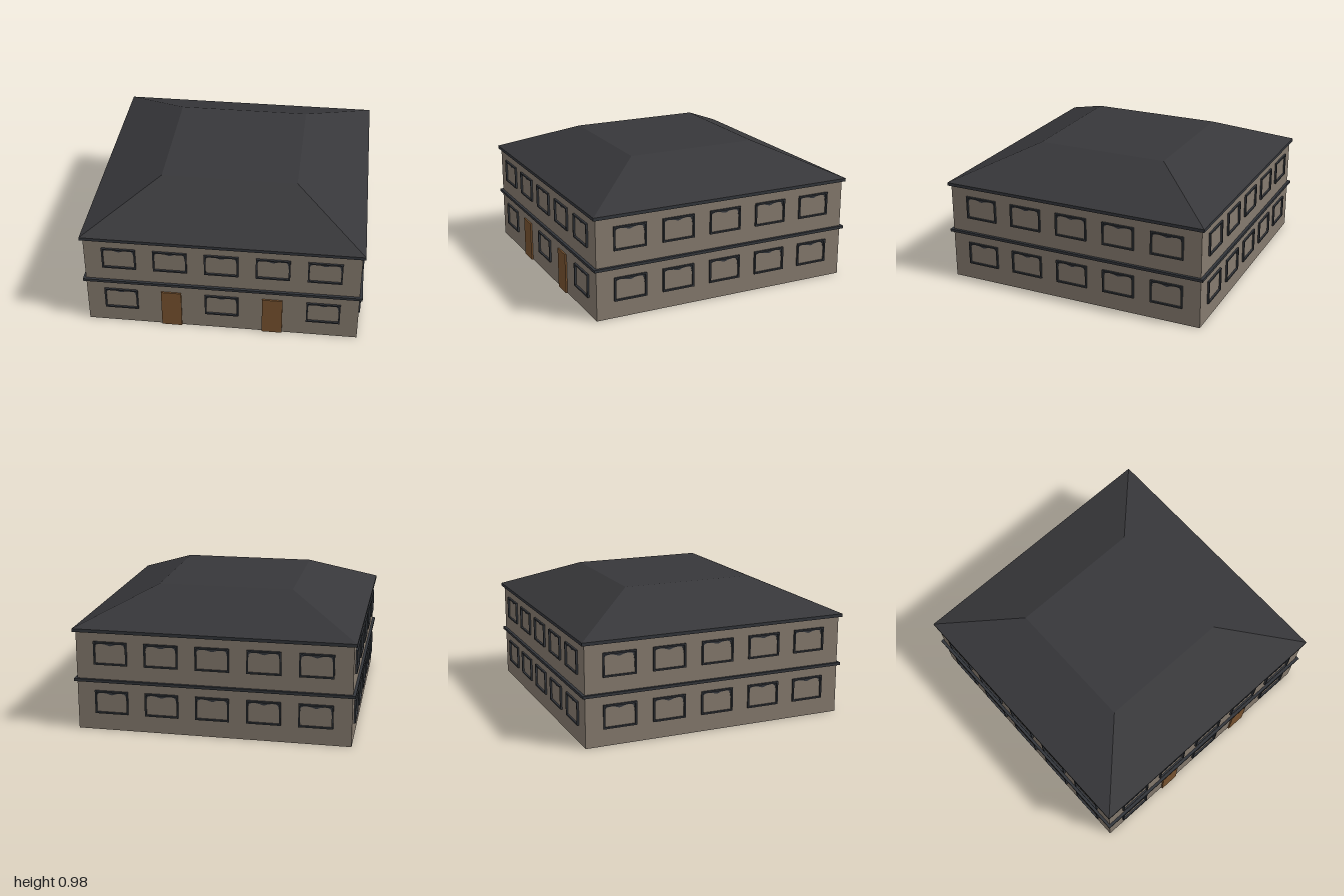
import * as THREE from 'three';

const material = (name, color, extra = {}) => {
  const m = new THREE.MeshStandardMaterial({ color, ...extra });
  m.name = name;
  return m;
};

// Square ring or shell: a four-sided lathe, profile given as [half width, height]
function squareShell(name, profile, mat) {
  const points = profile.map(([w, y]) => new THREE.Vector2(w * Math.SQRT2, y));
  const mesh = new THREE.Mesh(new THREE.LatheGeometry(points, 4, Math.PI / 4), mat);
  mesh.name = name;
  return mesh;
}

function rectangle(Type, w, h) {
  const p = new Type();
  p.moveTo(-w, -h);
  p.lineTo(w, -h);
  p.lineTo(w, h);
  p.lineTo(-w, h);
  p.closePath();
  return p;
}

export function createModel() {
  const shell = { flatShading: true, side: THREE.DoubleSide };
  const stone = material('wall stone', 0x857a6e, shell);
  const slate = material('roof slate', 0x37373a, shell);
  const trim = material('dark trim', 0x32353a, { flatShading: true });
  const wood = material('door wood', 0x77522f);

  const WALL = 0.98;
  const SPACING = 0.365;
  const house = new THREE.Group();
  house.name = 'house';

  // Hollow walls, string course between the floors, and hollow hipped roof
  house.add(
    squareShell('walls', [[WALL, 0], [WALL, 0.73]], stone),
    squareShell('stringCourse', [[WALL, 0.36], [1, 0.36], [1, 0.38], [WALL, 0.38]], trim),
    squareShell('eaves', [[WALL, 0.725], [1, 0.725], [1, 0.748]], trim),
    squareShell('roof', [[1, 0.748], [0.49, 0.975], [0, 0.975]], slate),
  );

  // Window frame: raised rectangular border
  const frameShape = rectangle(THREE.Shape, 0.121, 0.085);
  frameShape.holes.push(rectangle(THREE.Path, 0.11, 0.074));
  const frameGeo = new THREE.ExtrudeGeometry(frameShape, { depth: 0.014, bevelEnabled: false });

  // Thin wavy plate along the head of each window
  const valanceShape = new THREE.Shape();
  valanceShape.moveTo(0.11, 0.074);
  valanceShape.lineTo(-0.11, 0.074);
  valanceShape.lineTo(-0.11, 0.03);
  valanceShape.splineThru([
    [-0.104, 0.056], [-0.075, 0.067], [-0.035, 0.063], [0, 0.054],
    [0.035, 0.064], [0.075, 0.067], [0.1, 0.054], [0.11, 0.0],
  ].map(([x, y]) => new THREE.Vector2(x, y)));
  valanceShape.closePath();
  const valanceGeo = new THREE.ExtrudeGeometry(valanceShape, { depth: 0.002, bevelEnabled: false, curveSegments: 24 });

  function makeWindow(x, y) {
    const g = new THREE.Group();
    g.name = 'window';
    const frame = new THREE.Mesh(frameGeo, trim);
    frame.name = 'windowFrame';
    const valance = new THREE.Mesh(valanceGeo, trim);
    valance.name = 'windowValance';
    g.add(frame, valance);
    g.position.set(x, y, WALL);
    return g;
  }

  const doorGeo = new THREE.BoxGeometry(0.146, 0.296, 0.012);
  function makeDoor(x) {
    const door = new THREE.Mesh(doorGeo, wood);
    door.name = 'door';
    door.position.set(x, 0.148, WALL + 0.006);
    return door;
  }

  // Four sides of five bays; the front has doors in its second and fourth bays
  ['front', 'left', 'back', 'right'].forEach((side, i) => {
    const facade = new THREE.Group();
    facade.name = side + 'Openings';
    for (let bay = -2; bay <= 2; bay++) {
      const x = bay * SPACING;
      facade.add(makeWindow(x, 0.575));
      const isDoor = side === 'front' && Math.abs(bay) === 1;
      facade.add(isDoor ? makeDoor(x) : makeWindow(x, 0.21));
    }
    facade.rotation.y = i * Math.PI / 2;
    house.add(facade);
  });

  return house;
}
